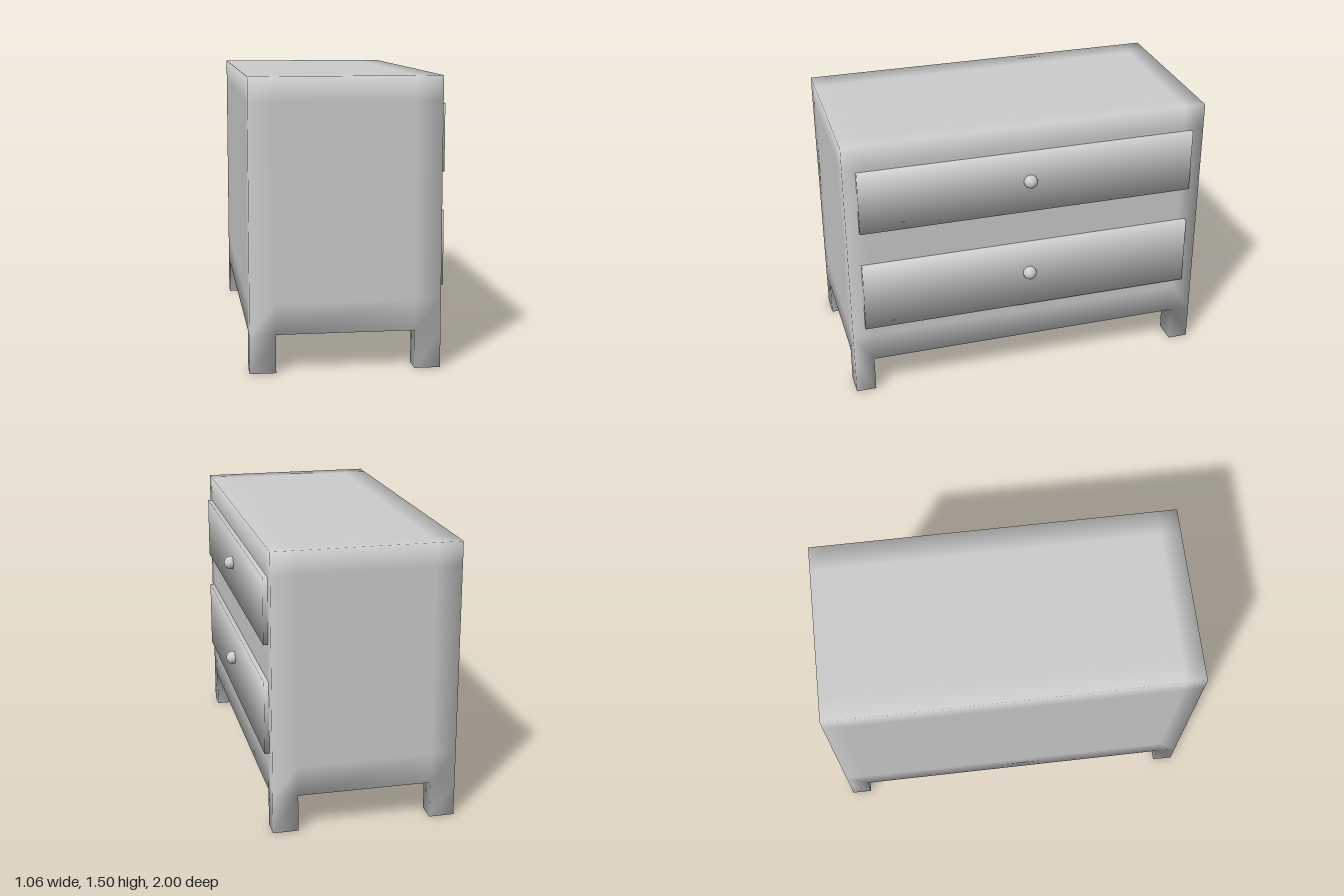
import * as THREE from 'three';
import { mergeVertices } from 'three/addons/utils/BufferGeometryUtils.js';

const material = new THREE.MeshStandardMaterial({ color: 0xcccccc });

function addMesh(parent, name, geometry, x = 0, y = 0, z = 0) {
  const mesh = new THREE.Mesh(geometry, material);
  mesh.name = name;
  mesh.position.set(x, y, z);
  parent.add(mesh);
}

// Shares corner vertices so the shading rolls softly over the edges.
function soften(geometry) {
  geometry.deleteAttribute('uv');
  geometry.deleteAttribute('normal');
  const merged = mergeVertices(geometry);
  merged.computeVertexNormals();
  return merged;
}

// Skin around the filled cells of an uneven grid.
function cellSkin(lines, filled) {
  const positions = [];
  const inside = (c) => c.every((v, i) => v >= 0 && v < lines[i].length - 1) && filled(...c);
  const addFace = (cell, axis, side) => {
    const u = (axis + 1) % 3, v = (axis + 2) % 3;
    const corner = (a, b) => {
      const c = [...cell];
      c[axis] += side;
      c[u] += a;
      c[v] += b;
      return c.map((n, i) => lines[i][n]);
    };
    const quad = [corner(0, 0), corner(1, 0), corner(1, 1), corner(0, 1)];
    if (!side) quad.reverse();
    for (const i of [0, 1, 2, 0, 2, 3]) positions.push(...quad[i]);
  };
  for (let x = 0; x < lines[0].length - 1; x++)
    for (let y = 0; y < lines[1].length - 1; y++)
      for (let z = 0; z < lines[2].length - 1; z++) {
        const cell = [x, y, z];
        if (!inside(cell)) continue;
        for (let axis = 0; axis < 3; axis++)
          for (const side of [0, 1]) {
            const next = [...cell];
            next[axis] += side ? 1 : -1;
            if (!inside(next)) addFace(cell, axis, side);
          }
      }
  const geometry = new THREE.BufferGeometry();
  geometry.setAttribute('position', new THREE.Float32BufferAttribute(positions, 3));
  return soften(geometry);
}

export function createModel() {
  const group = new THREE.Group();
  group.name = 'chestOfDrawers';

  // Cabinet and its four corner legs in one skin
  const lines = [
    [-0.53, -0.395, 0.32, 0.455],
    [0, 0.2, 0.36, 1.38, 1.505],
    [-1, -0.89, 0.89, 1],
  ];
  addMesh(group, 'cabinetWithLegs', cellSkin(lines, (x, y, z) => y > 0 || (x !== 1 && z !== 1)));

  // Deep drawers, each with a round knob
  const drawers = [
    { name: 'upper', bottom: 1.01, top: 1.36, knob: 1.195 },
    { name: 'lower', bottom: 0.42, top: 0.81, knob: 0.628 },
  ];
  const back = -0.4, front = 0.48;
  for (const { name, bottom, top, knob } of drawers) {
    const box = soften(new THREE.BoxGeometry(front - back, top - bottom, 1.86));
    addMesh(group, name + 'Drawer', box, (back + front) / 2, (bottom + top) / 2, 0);
    addMesh(group, name + 'Knob', new THREE.SphereGeometry(0.037, 32, 20), 0.49, knob, 0);
  }
  return group;
}
